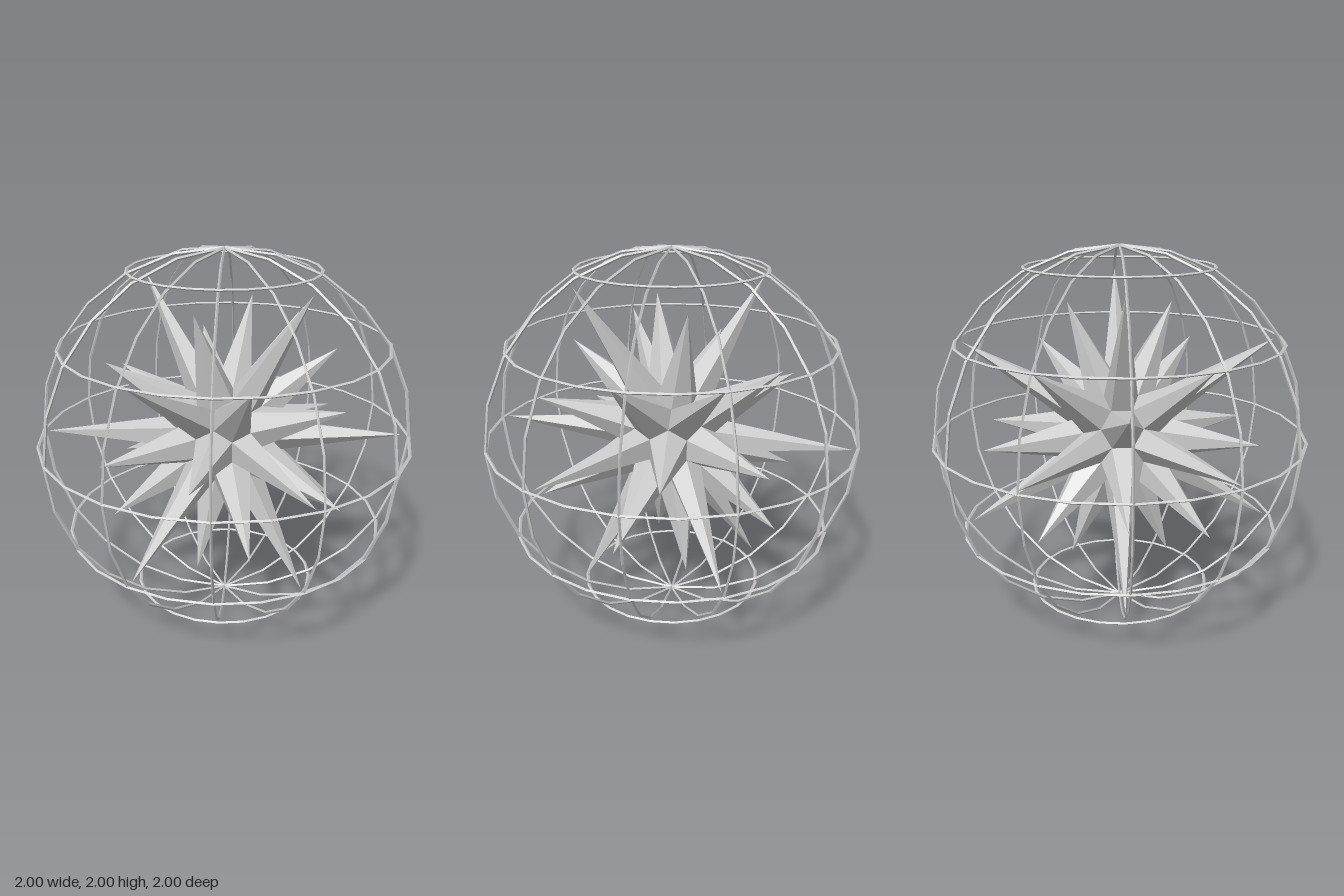
import * as THREE from 'three';

const PHI = (1 + Math.sqrt(5)) / 2;
const CORE = 0.165;        // scale of the icosahedron whose cut corners carry the spikes
const LONG_TIP = 0.965;    // tip radius of the five-sided spikes
const SHORT_TIP = 0.76;    // tip radius of the six-sided spikes

const material = new THREE.MeshStandardMaterial({ color: 0xcccccc, flatShading: true });

// Pyramid from a ring of base points to a tip along the given direction
function spike(ring, direction, length, name) {
  const axis = direction.clone().normalize();
  const u = ring[0].clone().projectOnPlane(axis).normalize();
  const v = axis.clone().cross(u);
  const angle = p => Math.atan2(p.dot(v), p.dot(u));
  const base = [...ring].sort((a, b) => angle(a) - angle(b));
  const tip = axis.multiplyScalar(length);
  const points = [];
  base.forEach((p, i) => points.push(p, base[(i + 1) % base.length], tip));
  const geometry = new THREE.BufferGeometry().setFromPoints(points);
  geometry.computeVertexNormals();
  const mesh = new THREE.Mesh(geometry, material);
  mesh.name = name;
  return mesh;
}

// Spiked star grown from a truncated icosahedron
function createStar() {
  const star = new THREE.Group();
  star.name = 'star';
  const corners = [];
  for (const a of [-1, 1]) for (const b of [-PHI, PHI]) {
    corners.push(new THREE.Vector3(0, a, b), new THREE.Vector3(a, b, 0), new THREE.Vector3(b, 0, a));
  }
  corners.forEach(c => c.multiplyScalar(CORE));
  const adjacent = (a, b) => a !== b && a.distanceTo(b) < 2.1 * CORE;
  const third = (a, b) => a.clone().lerp(b, 1 / 3);

  // Long spikes over the corners
  for (const a of corners) {
    const ring = corners.filter(b => adjacent(a, b)).map(b => third(a, b));
    star.add(spike(ring, a, LONG_TIP, 'longSpike'));
  }
  // Short spikes over the faces
  corners.forEach((a, i) => corners.forEach((b, j) => corners.forEach((c, k) => {
    if (!(i < j && j < k && adjacent(a, b) && adjacent(b, c) && adjacent(a, c))) return;
    const ring = [third(a, b), third(b, a), third(b, c), third(c, b), third(c, a), third(a, c)];
    star.add(spike(ring, a.clone().add(b).add(c), SHORT_TIP, 'shortSpike'));
  })));
  return star;
}

// Wire globe around the star
function createCage() {
  const cage = new THREE.Group();
  cage.name = 'cage';
  const addHoop = (radius, name) => {
    const hoop = new THREE.Mesh(new THREE.TorusGeometry(radius, 0.009, 4, 24), material);
    hoop.scale.z = 0.75;
    hoop.name = name;
    cage.add(hoop);
    return hoop;
  };
  // Upright hoops
  for (let i = 0; i < 6; i++) addHoop(0.991, 'meridianHoop').rotation.y = i * Math.PI / 6;
  // Level hoops
  for (const [radius, y] of [[0.991, 0], [0.855, 0.513], [0.855, -0.513], [0.491, 0.888], [0.491, -0.888]]) {
    const hoop = addHoop(radius, 'levelHoop');
    hoop.rotation.x = Math.PI / 2;
    hoop.position.y = y;
  }
  return cage;
}

export function createModel() {
  const model = new THREE.Group();
  model.name = 'cagedStar';
  model.add(createStar(), createCage());
  model.children.forEach(part => { part.position.y = 1; });
  return model;
}
